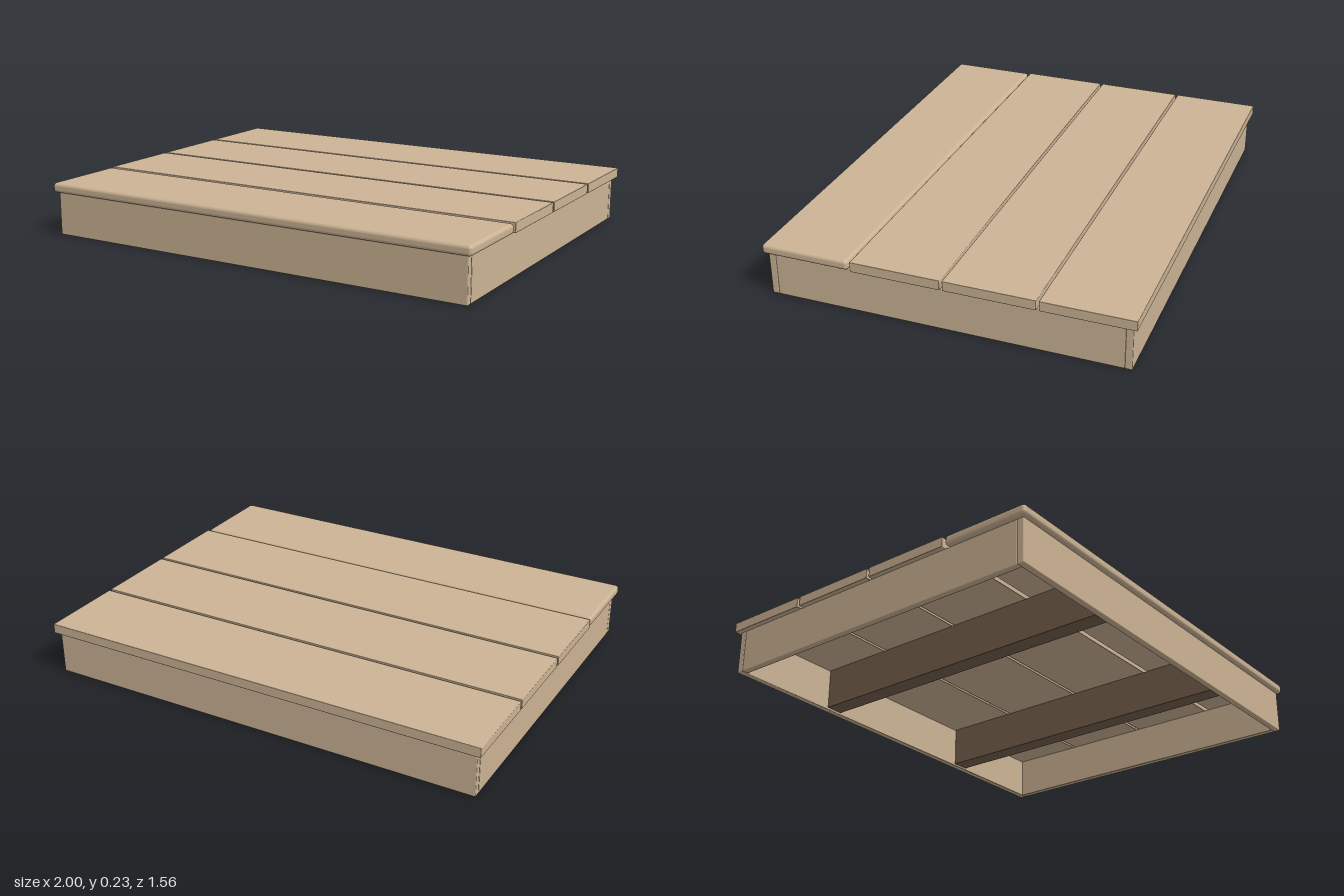
import * as THREE from 'three';
import { RoundedBoxGeometry } from 'three/addons/geometries/RoundedBoxGeometry.js';

export function createModel() {
  const model = new THREE.Group();
  model.name = 'deckPlatform';

  const paleWood = new THREE.MeshStandardMaterial({ color: 0xcbb394 });
  paleWood.name = 'paleWood';
  const darkWood = new THREE.MeshStandardMaterial({ color: 0x75604c });
  darkWood.name = 'darkWood';

  // A board given by its size, centre and edge rounding
  function board(name, [w, h, d], [x, y, z], material, radius = 0.004, segments = 1) {
    const mesh = new THREE.Mesh(new RoundedBoxGeometry(w, h, d, segments, radius), material);
    mesh.name = name;
    mesh.position.set(x, y, z);
    model.add(mesh);
  }

  const frameH = 0.19;
  const deckH = 0.043;
  const plankD = 0.381;
  const gap = 0.011;

  // Deck planks, the front one with a rounded nose
  for (let i = 0; i < 4; i++) {
    const front = i === 3;
    board(front ? 'nosedPlank' : 'deckPlank', [2, deckH, plankD],
      [0, frameH + deckH / 2, (i - 1.5) * (plankD + gap)],
      paleWood, front ? 0.015 : 0.003, front ? 4 : 1);
  }

  // Frame: front and back run full width, side boards fit between them
  for (const s of [-1, 1]) {
    board(s > 0 ? 'frontBoard' : 'backBoard', [1.96, frameH, 0.03],
      [0, frameH / 2, s * 0.745], paleWood);
    board(s > 0 ? 'leftBoard' : 'rightBoard', [0.03, frameH, 1.46],
      [s * 0.965, frameH / 2, 0], paleWood);
    // Joists under the planks
    board('joist', [0.08, 0.182, 1.46], [s * 0.44, 0.099, 0], darkWood, 0.002);
  }

  return model;
}
